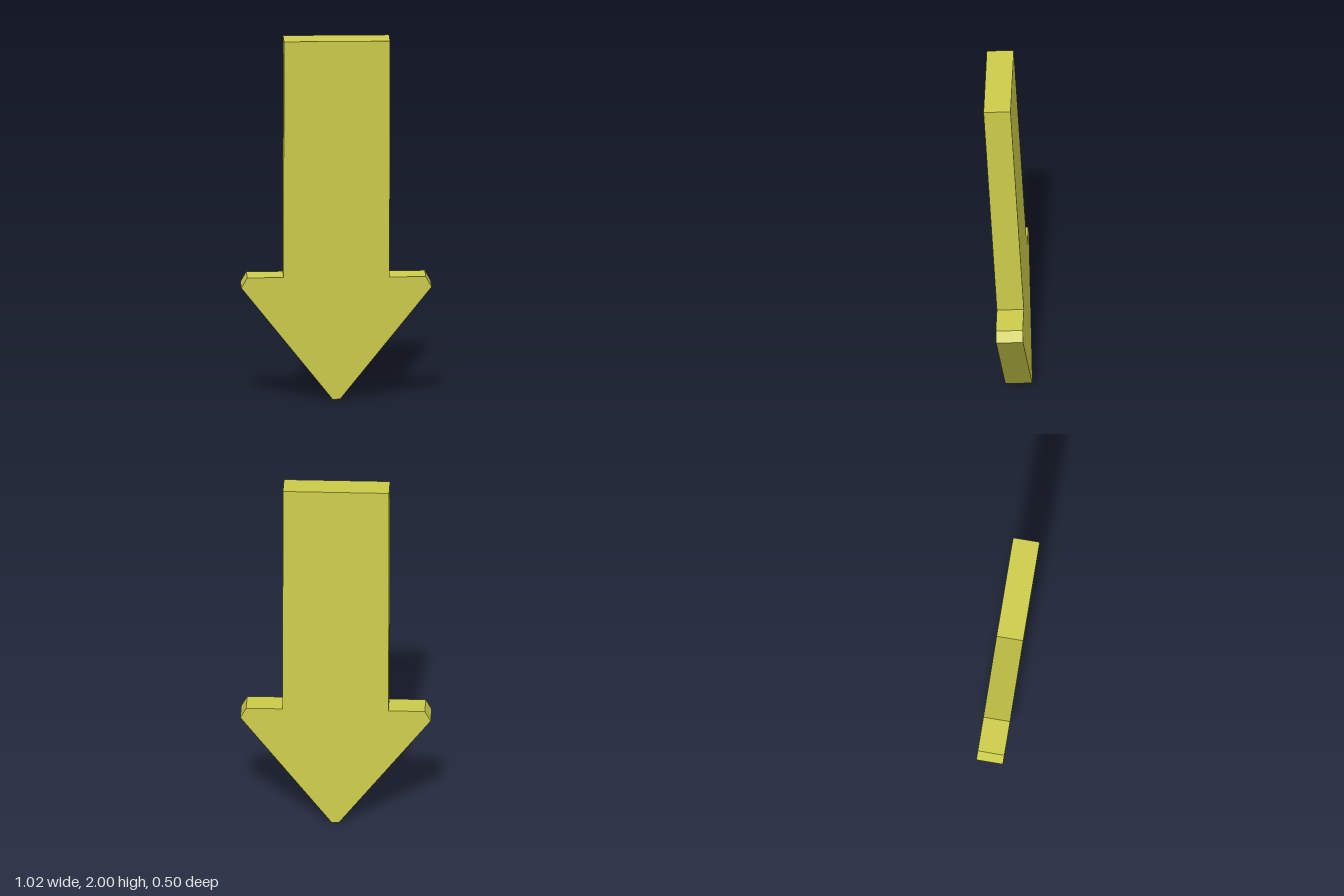
import * as THREE from 'three';

export function createModel() {
  const group = new THREE.Group();
  group.name = 'downArrow';
  const depth = 0.146;

  // Right half of the outline, from the blunt tip up to the shaft top
  const half = [[0.02, 0], [0.515, 0.622], [0.483, 0.679], [0.287, 0.679], [0.287, 1.991]];
  const outline = [...half, ...half.map(([x, y]) => [-x, y]).reverse()];
  const shape = new THREE.Shape(outline.map(([x, y]) => new THREE.Vector2(x, y)));
  const geometry = new THREE.ExtrudeGeometry(shape, { depth, bevelEnabled: false });
  geometry.translate(0, 0, -depth);

  // Turn and lean the slab: across, up and facing directions
  const across = new THREE.Vector3(0.937, 0, 0.35).normalize();
  const facing = across.clone().cross(new THREE.Vector3(-0.023, 0.998, 0.05)).normalize();
  const up = facing.clone().cross(across);
  geometry.applyMatrix4(new THREE.Matrix4().makeBasis(across, up, facing));
  geometry.translate(-0.016, 0.003, 0.043);

  const material = new THREE.MeshStandardMaterial({ color: 0xcccc4a });
  const arrow = new THREE.Mesh(geometry, material);
  arrow.name = 'arrow';
  group.add(arrow);
  return group;
}
